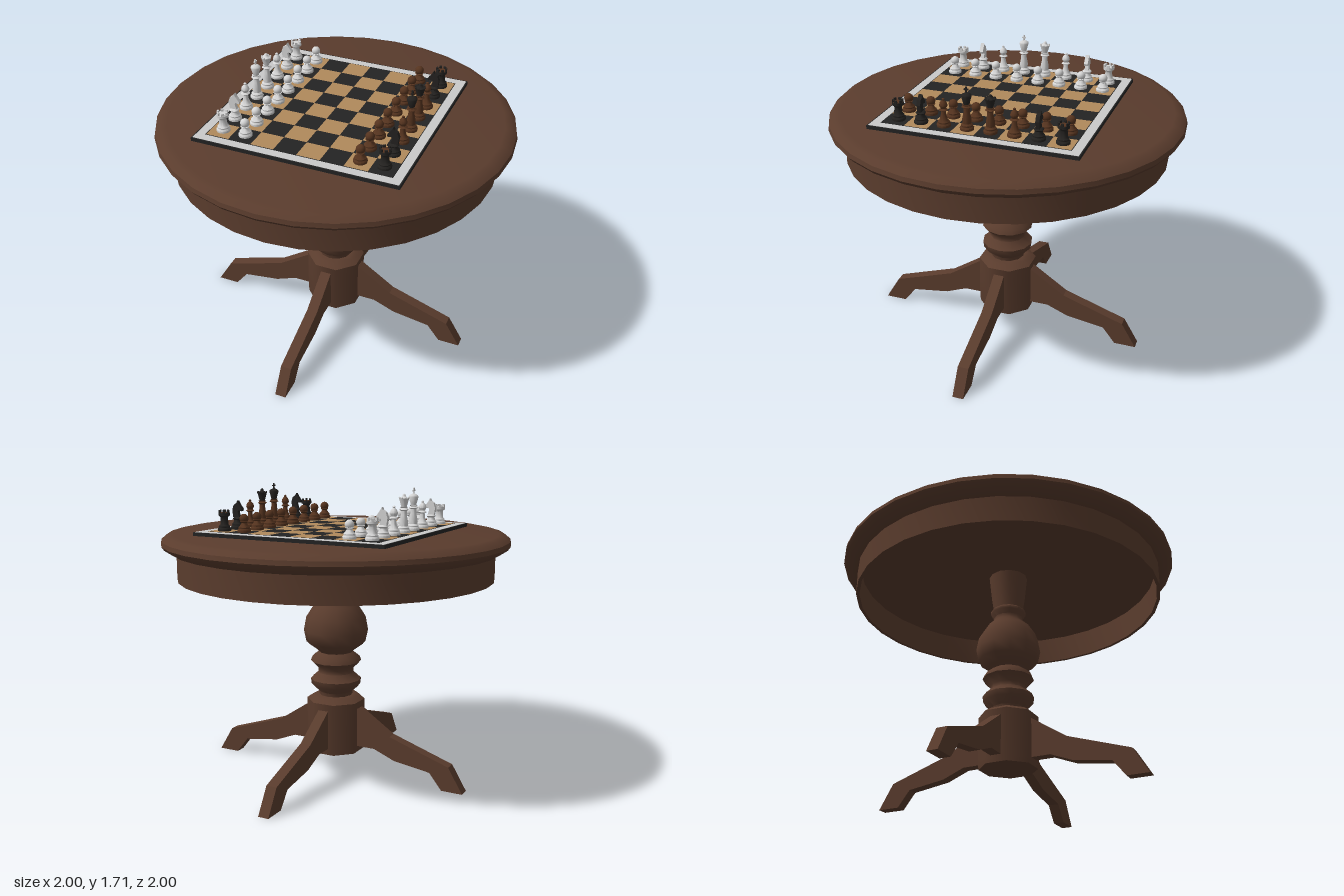
import * as THREE from 'three';
import { toCreasedNormals } from 'three/addons/utils/BufferGeometryUtils.js';

const mat = (name, color, side = THREE.FrontSide) => {
  const m = new THREE.MeshStandardMaterial({ color, side });
  m.name = name;
  return m;
};
const wood = mat('table wood', 0x5a3c2d);
const black = mat('board black', 0x232323);
const tan = mat('board tan', 0xb18a5b);
const pale = mat('border white', 0xcacaca);
const ivory = mat('white pieces', 0xd6d6d6);
const brown = mat('brown pieces', 0x56341f);
const ebony = mat('black pieces', 0x242220);

function add(parent, name, geometry, material, x = 0, y = 0, z = 0) {
  const mesh = new THREE.Mesh(geometry, material);
  mesh.name = name;
  mesh.position.set(x, y, z);
  parent.add(mesh);
  return mesh;
}

// profile runs from bottom to top as [radius, height]
function turned(profile, sides, crease = 0.6, start = 0) {
  const pts = profile.map(([r, y]) => new THREE.Vector2(r, y));
  return toCreasedNormals(new THREE.LatheGeometry(pts, sides, start), crease);
}

function slab(points, depth) {
  const shape = new THREE.Shape(points.map(([x, y]) => new THREE.Vector2(x, y)));
  return new THREE.ExtrudeGeometry(shape, { depth, bevelEnabled: false }).translate(0, 0, -depth / 2);
}

function buildTable() {
  const table = new THREE.Group();
  table.name = 'table';
  // round top with hollow apron
  add(table, 'tabletop', turned([
    [0, 1.36], [0.895, 1.36], [0.895, 1.19], [0.915, 1.19], [0.915, 1.34], [0.935, 1.345],
    [0.985, 1.375], [1, 1.395], [0.995, 1.42], [0.965, 1.445], [0.93, 1.452], [0, 1.452],
  ], 32), wood);
  // turned column
  add(table, 'pedestal', turned([
    [0.1, 0.45], [0.1, 0.5], [0.145, 0.54], [0.15, 0.575], [0.105, 0.615], [0.105, 0.64],
    [0.15, 0.685], [0.14, 0.71], [0.1, 0.74], [0.12, 0.76], [0.175, 0.8], [0.19, 0.87],
    [0.175, 0.95], [0.13, 1.02], [0.088, 1.06], [0.085, 1.085], [0.105, 1.11], [0.105, 1.125],
    [0.088, 1.14], [0.1, 1.22], [0.115, 1.36],
  ], 12, 0.9), wood);
  // octagonal block that holds the legs
  add(table, 'pedestalBase', turned([
    [0, 0.14], [0.167, 0.14], [0.172, 0.17], [0.172, 0.45], [0.135, 0.475], [0.115, 0.48], [0, 0.48],
  ], 8, 0.82, Math.PI / 8), wood);
  // four splayed legs
  const legGeometry = slab([
    [0.1, 0.18], [0.27, 0.18], [0.4, 0.128], [0.625, 0.095], [0.7, 0], [0.828, 0],
    [0.74, 0.147], [0.37, 0.27], [0.16, 0.41], [0.1, 0.41],
  ], 0.064);
  for (let i = 0; i < 4; i++) add(table, 'leg', legGeometry, wood).rotation.y = i * Math.PI / 2;
  return table;
}

const SQUARE = 0.1308;
const BOARD_TOP = 1.475;

function buildBoard() {
  const board = new THREE.Group();
  board.name = 'chessboard';
  add(board, 'boardBody', new THREE.BoxGeometry(1.166, 0.022, 1.166), black, 0, 1.461, 0);
  add(board, 'boardBorder', new THREE.BoxGeometry(1.152, 0.003, 1.152), pale, 0, 1.472, 0);
  add(board, 'squaresFrame', new THREE.BoxGeometry(1.054, 0.003, 1.054), black, 0, 1.473, 0);
  const tile = new THREE.BoxGeometry(SQUARE, 0.003, SQUARE);
  for (let row = 0; row < 8; row++) {
    for (let col = 0; col < 8; col++) {
      add(board, 'square', tile, (row + col) % 2 ? tan : black,
        (col - 3.5) * SQUARE, BOARD_TOP - 0.0015, (row - 3.5) * SQUARE);
    }
  }
  return board;
}

// shared foot of every piece
const foot = [[0, 0], [0.037, 0], [0.038, 0.012], [0.031, 0.02], [0.032, 0.027], [0.023, 0.036]];
const turn = (profile) => turned(profile, 14, 0.8);
const shapes = {
  pawnBody: turn([...foot, [0.015, 0.05], [0.024, 0.057], [0.013, 0.063], [0, 0.063]]),
  ball: new THREE.SphereGeometry(0.025, 14, 10),
  rookBody: turn([...foot, [0.02, 0.07], [0.022, 0.078], [0.032, 0.086], [0.032, 0.1], [0, 0.1]]),
  merlon: new THREE.BoxGeometry(0.009, 0.016, 0.015),
  rookTop: new THREE.CylinderGeometry(0.026, 0.026, 0.003, 14),
  knightBody: turn([...foot, [0.021, 0.05], [0.028, 0.058], [0.02, 0.066], [0, 0.066]]),
  knightHead: slab([
    [-0.022, 0.064], [0.018, 0.064], [0.008, 0.095], [0.016, 0.106], [0.033, 0.1], [0.037, 0.112],
    [0.017, 0.139], [0.006, 0.158], [0, 0.145], [-0.018, 0.133], [-0.028, 0.105],
  ], 0.022),
  bishopBody: turn([...foot, [0.015, 0.06], [0.013, 0.083], [0.025, 0.091], [0.014, 0.099],
    [0.023, 0.116], [0.018, 0.132], [0.006, 0.145], [0.008, 0.151], [0, 0.157]]),
  royalBody: turn([...foot, [0.024, 0.06], [0.017, 0.095], [0.016, 0.118], [0.027, 0.126],
    [0.018, 0.134], [0.022, 0.14], [0, 0.14]]),
  queenHead: turn([[0.015, 0.138], [0.018, 0.15], [0.029, 0.188], [0.018, 0.19], [0.009, 0.2],
    [0.008, 0.207], [0, 0.212]]),
  crownBead: new THREE.SphereGeometry(0.0055, 6, 4),
  kingHead: turn([[0.015, 0.138], [0.018, 0.15], [0.028, 0.185], [0.025, 0.193], [0.008, 0.203], [0, 0.204]]),
  crossPost: new THREE.BoxGeometry(0.008, 0.036, 0.008),
  crossBar: new THREE.BoxGeometry(0.008, 0.008, 0.024),
};

// each builder gets the body colour, the dark accent and the facing direction
const builders = {
  pawn(g, main) {
    add(g, 'pawnBody', shapes.pawnBody, main);
    add(g, 'pawnHead', shapes.ball, main, 0, 0.075, 0);
  },
  rook(g, main, accent) {
    add(g, 'rookBody', shapes.rookBody, accent);
    add(g, 'rookTop', shapes.rookTop, main, 0, 0.101, 0);
    for (let i = 0; i < 6; i++) {
      const a = i * Math.PI / 3;
      add(g, 'merlon', shapes.merlon, accent, 0.026 * Math.cos(a), 0.107, -0.026 * Math.sin(a)).rotation.y = a;
    }
  },
  knight(g, main, accent) {
    add(g, 'knightBody', shapes.knightBody, accent);
    add(g, 'knightHead', shapes.knightHead, accent);
  },
  bishop(g, main) {
    add(g, 'bishopBody', shapes.bishopBody, main);
  },
  queen(g, main, accent) {
    add(g, 'queenBody', shapes.royalBody, main);
    add(g, 'queenHead', shapes.queenHead, accent);
    for (let i = 0; i < 8; i++) {
      const a = i * Math.PI / 4;
      add(g, 'crownBead', shapes.crownBead, accent, 0.026 * Math.cos(a), 0.189, 0.026 * Math.sin(a));
    }
  },
  king(g, main, accent) {
    add(g, 'kingBody', shapes.royalBody, main);
    add(g, 'kingHead', shapes.kingHead, accent);
    add(g, 'crossPost', shapes.crossPost, accent, 0, 0.217, 0);
    add(g, 'crossBar', shapes.crossBar, accent, 0, 0.22, 0);
  },
};

function buildSide(name, sign, main, accent) {
  const side = new THREE.Group();
  side.name = name;
  const place = (kind, x, row) => {
    const g = new THREE.Group();
    g.name = kind;
    builders[kind](g, main, accent);
    g.position.set(x, BOARD_TOP, (row - 3.5) * SQUARE - 0.004);
    if (sign > 0) g.rotation.y = Math.PI;
    side.add(g);
  };
  ['rook', 'knight', 'bishop', 'queen', 'king', 'bishop', 'knight', 'rook'].forEach((kind, row) => {
    place(kind, sign * 0.456, row);
    place('pawn', sign * 0.325, row);
  });
  return side;
}

export function createModel() {
  const model = new THREE.Group();
  model.name = 'chessTable';
  model.add(buildTable(), buildBoard());
  model.add(buildSide('whitePieces', -1, ivory, ivory), buildSide('darkPieces', 1, brown, ebony));
  return model;
}
